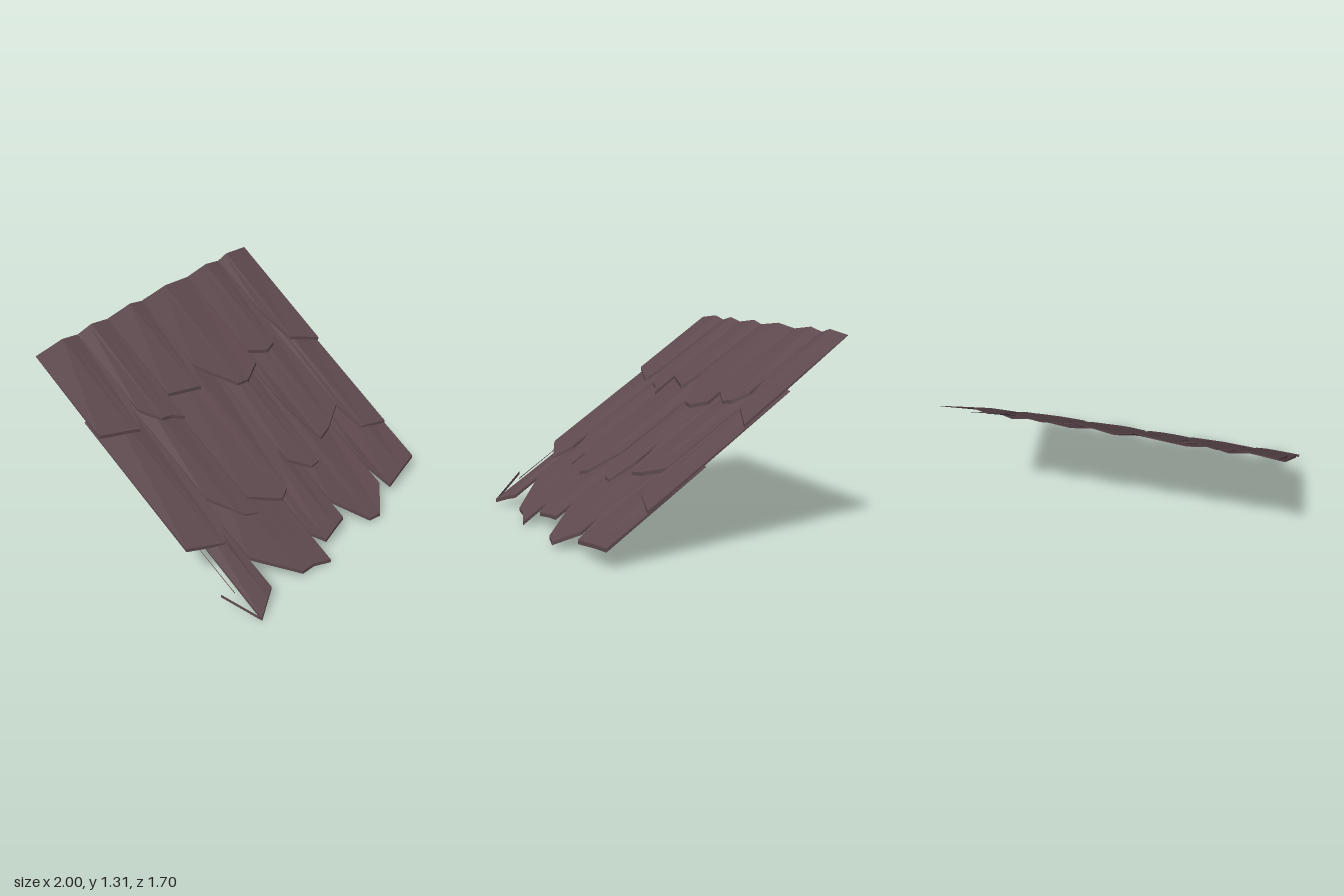
import * as THREE from 'three';

// Roof slope: height falls as z comes forward
const planeY = (z) => 0.655 - 0.75 * z;
const zAtY = (y) => (0.647 - y) / 0.75;
const lerp = THREE.MathUtils.lerp;

// Each course: back edge z, base lift at back and front, and the ragged lower edge [x, y] of every shingle
const COURSES = [
  { name: 'upper', z: -0.855, lift: [-0.011, 0.012], tiles: [
    [[-1, 0.9], [-0.73, 0.84], [-0.65, 0.96]],
    [[-0.65, 0.91], [-0.55, 0.83], [-0.47, 0.82], [-0.39, 0.79]],
    [[-0.39, 0.9], [-0.14, 0.855], [-0.07, 0.96]],
    [[-0.07, 0.94], [0.13, 0.785], [0.22, 0.775], [0.38, 0.82]],
    [[0.38, 0.88], [0.53, 0.835], [0.62, 0.85], [0.71, 0.91]],
    [[0.71, 1.0], [0.78, 0.83], [1, 0.765]]] },
  { name: 'middle', z: -0.46, lift: [-0.035, 0.01], tiles: [
    [[-1, 0.38], [-0.75, 0.31], [-0.655, 0.4]],
    [[-0.655, 0.49], [-0.5, 0.35], [-0.4, 0.325]],
    [[-0.4, 0.4], [-0.18, 0.31], [-0.1, 0.33], [0.06, 0.48]],
    [[0.06, 0.42], [0.19, 0.34], [0.27, 0.34], [0.34, 0.46]],
    [[0.34, 0.6], [0.41, 0.41], [0.53, 0.425], [0.73, 0.485]],
    [[0.73, 0.46], [0.78, 0.345], [1, 0.305]]] },
  { name: 'lower', z: 0.09, lift: [-0.035, 0.008], tiles: [
    [[-0.87, 0.015], [-0.67, 0.08]],
    [[-0.67, 0.215], [-0.41, 0.045], [-0.3, 0.04], [-0.17, 0.01]],
    [[-0.17, 0.14], [-0.1, 0.08], [0.135, 0.105]],
    [[0.135, 0.19], [0.31, 0.03], [0.41, 0.018], [0.585, 0.115]],
    [[0.585, 0.215], [0.65, 0.08], [1, 0.115]]] },
];
const PEAKS = [0.63, 0.46, 0.66, 0.51, 0.6, 0.31];

function geometryFrom(quads) {
  const pos = [];
  for (const [a, b, c, d] of quads) for (const p of [a, b, c, a, c, d]) pos.push(...p);
  const g = new THREE.BufferGeometry();
  g.setAttribute('position', new THREE.Float32BufferAttribute(pos, 3));
  g.computeVertexNormals();
  return g;
}

// Height of the lower edge at any x along its polyline
function edgeAt(edge, x) {
  for (let i = 1; i < edge.length; i++) {
    const [x0, y0] = edge[i - 1], [x1, y1] = edge[i];
    if (x <= x1) return lerp(y0, y1, (x - x0) / (x1 - x0));
  }
  return edge[edge.length - 1][1];
}

// A creased shingle, thin at the back and thick at its ragged front edge
function shingle(edge, backZ, lift, peak) {
  const x0 = edge[0][0], x1 = edge[edge.length - 1][0];
  const crest = lerp(x0, x1, peak);
  const xs = [...new Set([...edge.map((p) => p[0]), crest])].sort((a, b) => a - b);
  const sections = xs.map((x) => {
    const frontZ = zAtY(edgeAt(edge, x));
    const ridge = x <= crest ? (x - x0) / (crest - x0) : (x1 - x) / (x1 - crest);
    const px = x === x1 && x1 < 1 ? x - 0.003 : x;
    const back = planeY(backZ) + lift[0] + 0.024 * ridge;
    const front = planeY(frontZ) + lift[1] + 0.005 * ridge;
    return { tb: [px, back, backZ], tf: [px, front, frontZ],
      bf: [px, front - 0.024, frontZ], bb: [px, back - 0.004, backZ] };
  });
  const quads = [];
  for (let i = 1; i < sections.length; i++) {
    const l = sections[i - 1], r = sections[i];
    quads.push([l.tf, r.tf, r.tb, l.tb], [l.bb, r.bb, r.bf, l.bf],
      [l.bf, r.bf, r.tf, l.tf], [r.bb, l.bb, l.tb, r.tb]);
  }
  const a = sections[0], b = sections[sections.length - 1];
  quads.push([a.bb, a.bf, a.tf, a.tb], [b.tb, b.tf, b.bf, b.bb]);
  return geometryFrom(quads);
}

export function createModel() {
  const model = new THREE.Group();
  model.name = 'shingleRoofPanel';
  const wood = new THREE.MeshStandardMaterial({ color: 0x5f4a4f, flatShading: true, side: THREE.DoubleSide });
  wood.name = 'dark brown wood';

  // Three overlapping courses
  for (const course of COURSES) {
    const group = new THREE.Group();
    group.name = `${course.name}Course`;
    course.tiles.forEach((edge, i) => {
      const mesh = new THREE.Mesh(shingle(edge, course.z, course.lift, PEAKS[i]), wood);
      mesh.name = 'shingle';
      group.add(mesh);
    });
    model.add(group);
  }

  // Bare lower rim of the broken corner shingle
  const rimPoint = (x, y, d) => [x, planeY(zAtY(y)) + d, zAtY(y)];
  const rim = new THREE.Mesh(geometryFrom([[rimPoint(-1, 0.175, -0.014), rimPoint(-0.87, 0.015, -0.014),
    rimPoint(-0.87, 0.015, 0.008), rimPoint(-1, 0.175, 0.008)]]), wood);
  rim.name = 'brokenShingleRim';
  model.add(rim);

  // Thin splinter left in the broken corner
  const splinter = new THREE.Mesh(geometryFrom([[[-0.914, planeY(0.35) - 0.02, 0.35], [-0.91, planeY(0.66) - 0.008, 0.66],
    [-0.909, planeY(0.66), 0.66], [-0.911, planeY(0.35) - 0.015, 0.35]]]), wood);
  splinter.name = 'splinter';
  model.add(splinter);
  return model;
}
